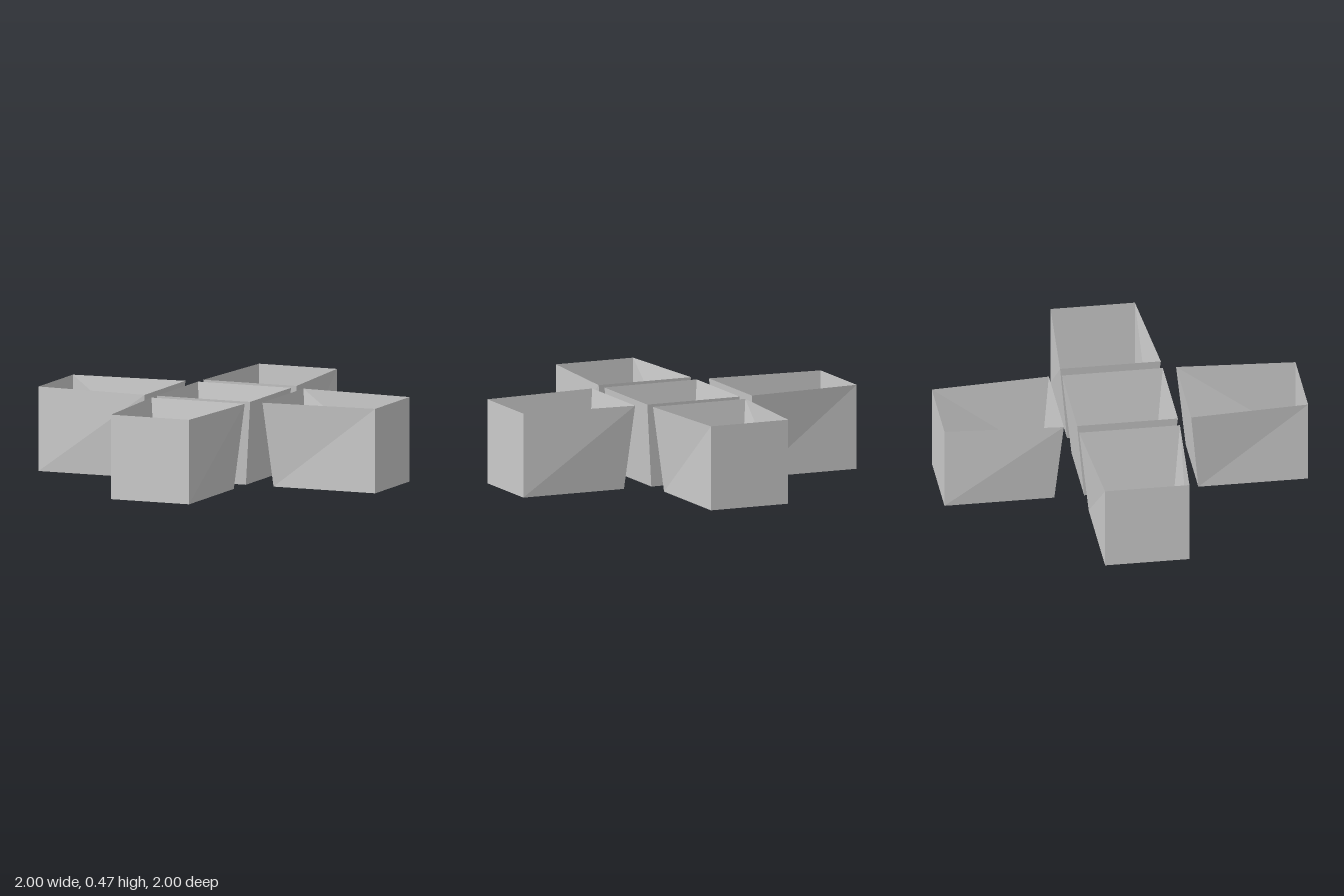
import * as THREE from 'three';

const H = 0.465;        // wall height
const BASE = 0.232;     // half width at the ground
const RIM = 0.277;      // half width at the flared rim
const INNER_BASE = 0.396, INNER_RIM = 0.35, OUTER = 1;

const material = new THREE.MeshStandardMaterial({
  color: 0xcccccc, flatShading: true, side: THREE.DoubleSide,
});

// Four thin walls joining a bottom ring to a top ring; rings are [x, z] corners.
function wallRing(name, bottom, top) {
  const positions = [];
  for (let i = 0; i < 4; i++) {
    const j = (i + 1) % 4;
    const a = [bottom[i][0], 0, bottom[i][1]];
    const b = [bottom[j][0], 0, bottom[j][1]];
    const c = [top[j][0], H, top[j][1]];
    const d = [top[i][0], H, top[i][1]];
    positions.push(...a, ...b, ...c, ...a, ...c, ...d);
  }
  const geometry = new THREE.BufferGeometry();
  geometry.setAttribute('position', new THREE.Float32BufferAttribute(positions, 3));
  geometry.computeVertexNormals();
  const mesh = new THREE.Mesh(geometry, material);
  mesh.name = name;
  return mesh;
}

// Corners counter-clockwise seen from above: near z = zFar, back to z = zNear
const ring = (zNear, nearHalf, zFar, farHalf) => [
  [-farHalf, zFar], [farHalf, zFar], [nearHalf, zNear], [-nearHalf, zNear],
];

export function createModel() {
  const group = new THREE.Group();
  group.name = 'openBoxCross';

  // Central box, flared evenly on all sides, open above and below
  group.add(wallRing('centerBox', ring(-BASE, BASE, BASE, BASE), ring(-RIM, RIM, RIM, RIM)));

  // Four arm boxes: upright outer wall, flared towards the centre
  ['frontBox', 'leftBox', 'backBox', 'rightBox'].forEach((name, i) => {
    const box = wallRing(name,
      ring(INNER_BASE, BASE, OUTER, BASE),
      ring(INNER_RIM, RIM, OUTER, BASE));
    box.rotation.y = i * Math.PI / 2;
    group.add(box);
  });

  return group;
}
